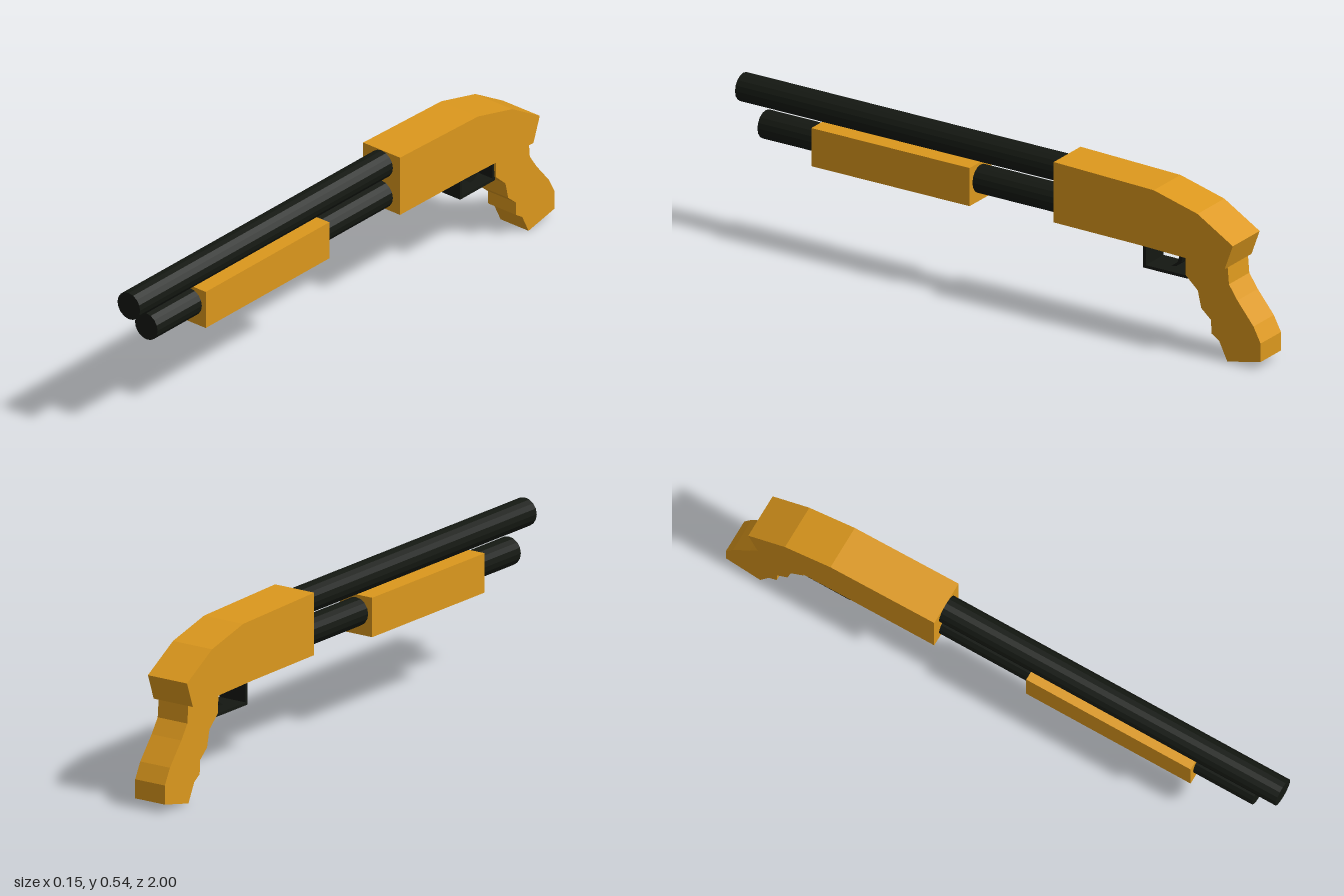
import * as THREE from 'three';

const wood = new THREE.MeshStandardMaterial({ color: 0xdc981d, flatShading: true });
const steel = new THREE.MeshStandardMaterial({ color: 0x141812, flatShading: true });

// Side profile given as [z, y] points, extruded to a width centred on x = 0
function sideProfile(name, points, width, material) {
  const shape = new THREE.Shape(points.map(([z, y]) => new THREE.Vector2(z, y)));
  const geometry = new THREE.ExtrudeGeometry(shape, { depth: width, bevelEnabled: false });
  geometry.translate(0, 0, -width / 2);
  geometry.rotateY(-Math.PI / 2);
  const mesh = new THREE.Mesh(geometry, material);
  mesh.name = name;
  return mesh;
}

// Round tube lying along z
function tube(name, y, front, back) {
  const geometry = new THREE.CylinderGeometry(0.047, 0.047, front - back, 16);
  geometry.rotateX(Math.PI / 2);
  const mesh = new THREE.Mesh(geometry, steel);
  mesh.name = name;
  mesh.position.set(0, y, (front + back) / 2);
  return mesh;
}

export function createModel() {
  const model = new THREE.Group();

  // Barrel and the magazine tube beneath it
  model.add(tube('barrel', 0.492, 1, -0.25));
  model.add(tube('magazineTube', 0.384, 0.915, -0.25));

  // Sliding fore-end
  const foreEnd = new THREE.Mesh(new THREE.BoxGeometry(0.126, 0.13, 0.6), wood);
  foreEnd.name = 'foreEnd';
  foreEnd.position.set(0, 0.375, 0.4);
  model.add(foreEnd);

  // Receiver with its sloping back
  model.add(sideProfile('receiver', [
    [-0.228, 0.334], [-0.228, 0.54], [-0.607, 0.53], [-0.773, 0.487],
    [-0.907, 0.407], [-0.876, 0.322], [-0.555, 0.331],
  ], 0.153, wood));

  // Pistol grip with finger grooves
  model.add(sideProfile('grip', [
    [-0.714, 0.335], [-0.716, 0.259], [-0.762, 0.217], [-0.775, 0.16],
    [-0.812, 0.128], [-0.814, 0.082], [-0.843, 0.063], [-0.874, 0],
    [-1, 0.027], [-1, 0.09], [-0.973, 0.142], [-0.912, 0.217],
    [-0.88, 0.265], [-0.874, 0.335],
  ], 0.116, wood));

  // Trigger guard: a thin U-shaped strap
  model.add(sideProfile('triggerGuard', [
    [-0.55, 0.335], [-0.55, 0.245], [-0.718, 0.245], [-0.718, 0.335],
    [-0.708, 0.335], [-0.708, 0.255], [-0.56, 0.255], [-0.56, 0.335],
  ], 0.102, steel));

  // Curved trigger
  model.add(sideProfile('trigger', [
    [-0.66, 0.335], [-0.667, 0.3], [-0.66, 0.278], [-0.636, 0.259],
    [-0.655, 0.263], [-0.674, 0.279], [-0.68, 0.3], [-0.675, 0.335],
  ], 0.04, steel));

  return model;
}
